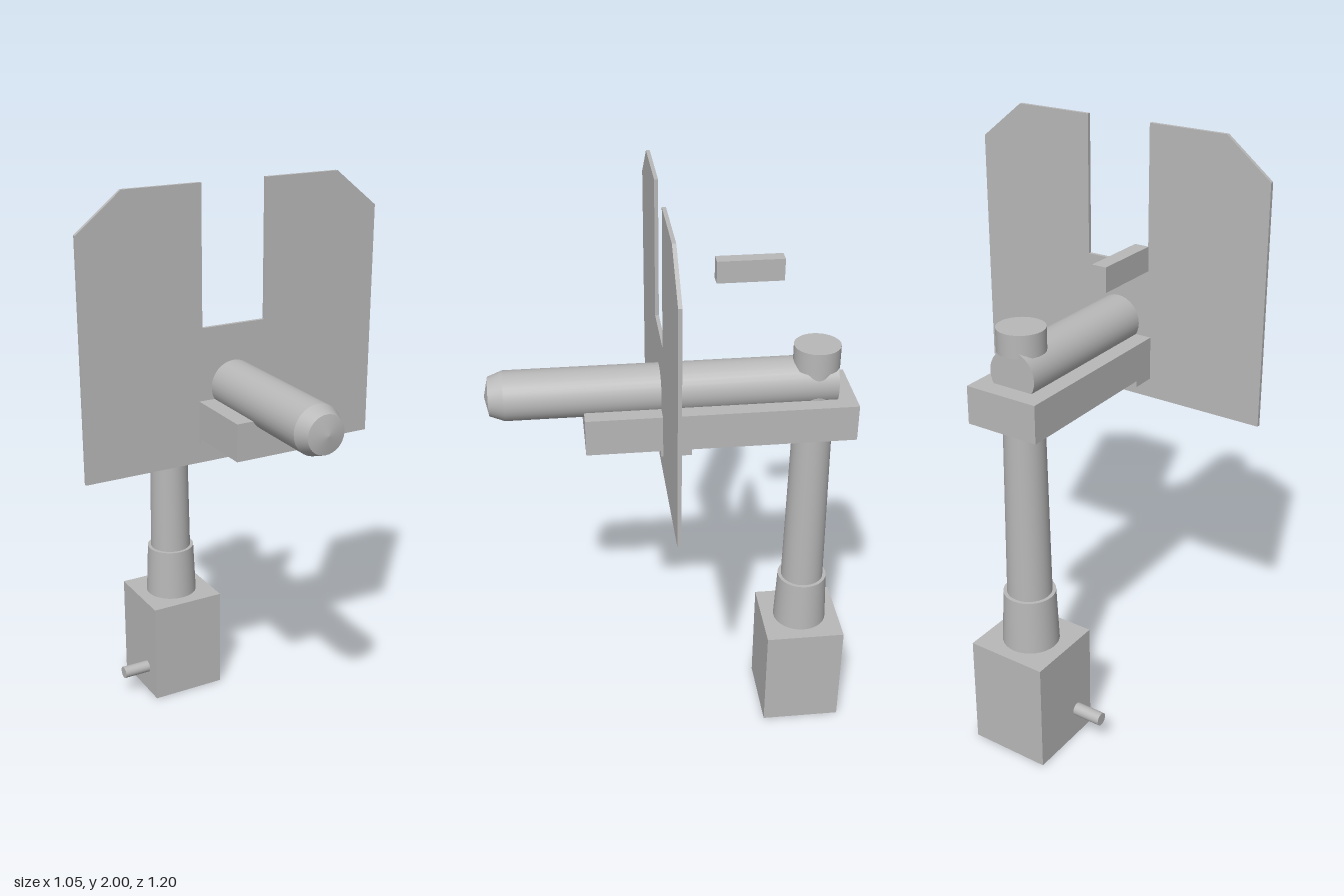
import * as THREE from 'three';
import { toCreasedNormals } from 'three/addons/utils/BufferGeometryUtils.js';

export function createModel() {
  const model = new THREE.Group();
  const grey = new THREE.MeshStandardMaterial({ color: 0xb8b8b8 });
  grey.name = 'plain grey';

  const add = (name, geometry, x = 0, y = 0, z = 0) => {
    const mesh = new THREE.Mesh(geometry, grey);
    mesh.name = name;
    mesh.position.set(x, y, z);
    model.add(mesh);
    return mesh;
  };
  // Box given by its limits on each axis
  const box = (name, [x0, x1], [y0, y1], [z0, z1]) =>
    add(name, new THREE.BoxGeometry(x1 - x0, y1 - y0, z1 - z0),
      (x0 + x1) / 2, (y0 + y1) / 2, (z0 + z1) / 2);
  // Upright, possibly tapered post
  const post = (name, rBottom, rTop, y0, y1) =>
    add(name, new THREE.CylinderGeometry(rTop, rBottom, y1 - y0, 32), 0.011, (y0 + y1) / 2, -0.465);

  // Pedestal, with a small crank pin on its right side
  box('pedestalBase', [-0.127, 0.149], [0, 0.38], [-0.602, -0.327]);
  const pin = new THREE.CylinderGeometry(0.022, 0.022, 0.12, 20).rotateZ(Math.PI / 2);
  add('crankPin', pin, -0.167, 0.103, -0.405);

  // Stepped column running up through the cradle to a cap
  post('columnSleeve', 0.094, 0.086, 0.38, 0.567);
  post('column', 0.074, 0.062, 0.567, 1.42);
  post('columnCap', 0.076, 0.076, 1.409, 1.483);

  // Cradle and the bracket below it that holds the shield
  box('cradle', [-0.127, 0.123], [1.186, 1.31], [-0.59, 0.288]);
  box('shieldBracket', [-0.127, 0.123], [1.165, 1.187], [-0.05, 0.05]);

  // Barrel with a bevelled nose
  const profile = [[0, -0.53], [0.081, -0.53], [0.081, 0.538], [0.063, 0.586], [0, 0.6]]
    .map(([r, z]) => new THREE.Vector2(r, z));
  const barrel = new THREE.LatheGeometry(profile, 32).rotateX(Math.PI / 2);
  add('barrel', toCreasedNormals(barrel, 0.3), -0.001, 1.35, 0);

  // Shield plate with clipped corners and a sighting notch
  const outline = [[-0.528, 1.1], [0.526, 1.1], [0.526, 1.88], [0.376, 2], [0.112, 2],
    [0.112, 1.55], [-0.114, 1.55], [-0.114, 2], [-0.378, 2], [-0.528, 1.88]]
    .map(([x, y]) => new THREE.Vector2(x, y));
  add('shield', new THREE.ExtrudeGeometry(new THREE.Shape(outline),
    { depth: 0.012, bevelEnabled: false }), 0, 0, 0.03);

  // Sight block set off to the right side
  box('sight', [-0.239, -0.192], [1.614, 1.69], [-0.39, -0.166]);

  return model;
}
